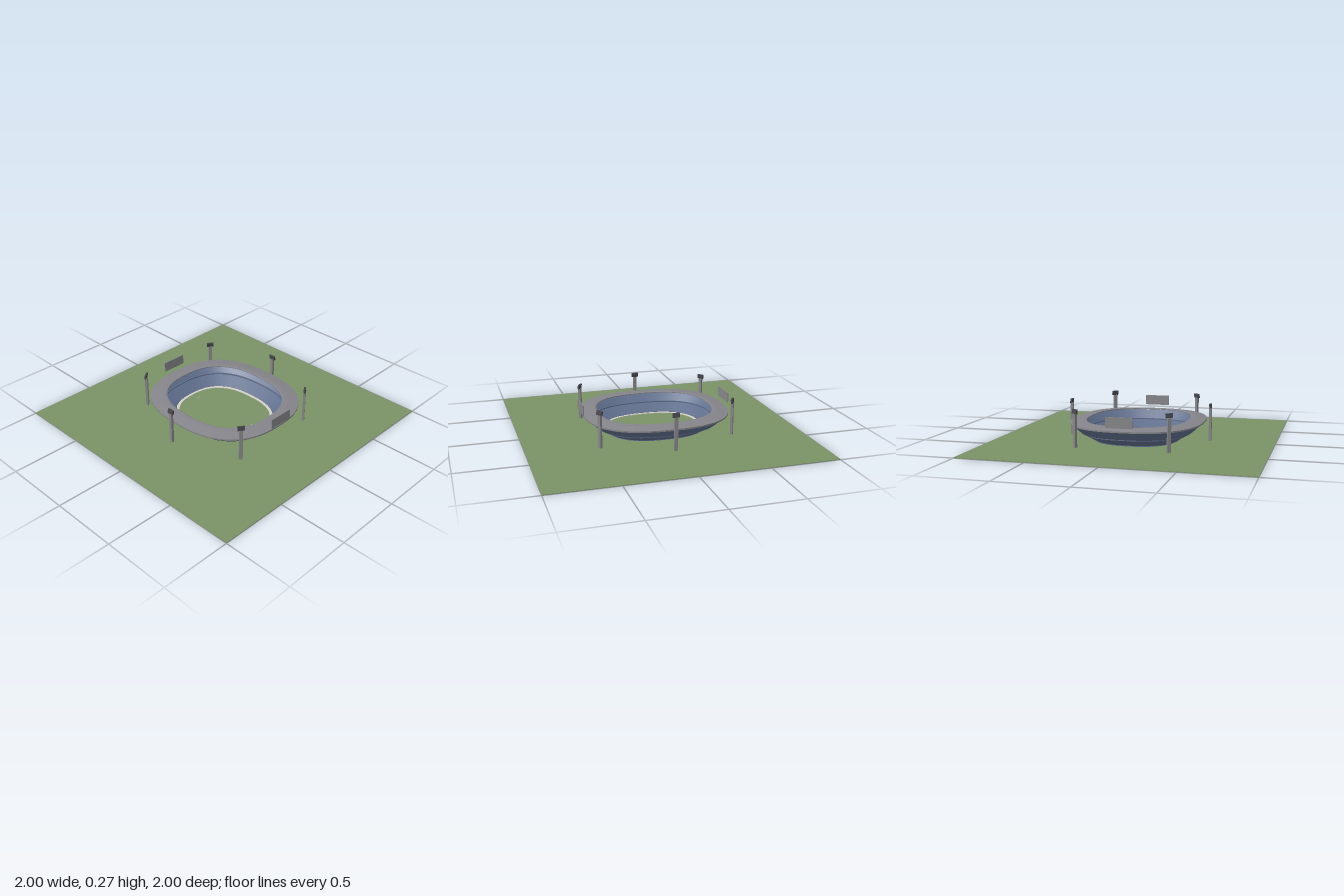
import * as THREE from 'three';

const mat = (name, color, side = THREE.FrontSide) => {
  const m = new THREE.MeshStandardMaterial({ color, side });
  m.name = name;
  return m;
};

// Point on the rounded oval plan; d is the distance outside the pitch edge
const SEGMENTS = 96, POWER = 2 / 2.5;
function ovalPoint(d, t) {
  const c = Math.cos(t), s = Math.sin(t);
  return [
    (0.36 + d) * Math.sign(c) * Math.abs(c) ** POWER,
    (0.31 + d) * Math.sign(s) * Math.abs(s) ** POWER,
  ];
}

// Sweeps a profile of [offset, height] points round the oval; each band keeps its own normals
function ovalSweep(profile) {
  const pos = [], index = [];
  for (let k = 0; k + 1 < profile.length; k++) {
    const base = pos.length / 3;
    for (let i = 0; i <= SEGMENTS; i++) {
      const t = (i / SEGMENTS) * Math.PI * 2;
      for (const [d, y] of [profile[k], profile[k + 1]]) {
        const [x, z] = ovalPoint(d, t);
        pos.push(x, y, z);
      }
    }
    for (let i = 0; i < SEGMENTS; i++) {
      const a = base + i * 2;
      index.push(a, a + 2, a + 1, a + 1, a + 2, a + 3);
    }
  }
  const g = new THREE.BufferGeometry();
  g.setAttribute('position', new THREE.Float32BufferAttribute(pos, 3));
  g.setIndex(index);
  g.computeVertexNormals();
  return g;
}

export function createModel() {
  const model = new THREE.Group();
  const grass = mat('grass green', 0x7a9267);
  const seats = mat('seat blue', 0x5f6e8c, THREE.DoubleSide);
  const roofGrey = mat('roof grey', 0x84848a, THREE.DoubleSide);
  const white = mat('board white', 0xd4d2c8, THREE.DoubleSide);
  const steel = mat('steel grey', 0x87878a);
  const dark = mat('lamp dark grey', 0x48484e);

  const add = (parent, name, geometry, material, x = 0, y = 0, z = 0) => {
    const m = new THREE.Mesh(geometry, material);
    m.name = name;
    m.position.set(x, y, z);
    parent.add(m);
    return m;
  };
  const box = (w, h, d) => new THREE.BoxGeometry(w, h, d);

  // Ground slab, with the pitch in the middle
  add(model, 'ground', box(2, 0.004, 2), grass, 0, 0.002, 0);

  // Low perimeter boards
  add(model, 'perimeterBoards',
    ovalSweep([[-0.02, 0.004], [-0.02, 0.008], [0, 0.008]]), white);

  // Two raked tiers, with a step at the concourse between them
  add(model, 'lowerTier', ovalSweep([[0, 0.004], [0, 0.01], [0.09, 0.06]]), seats);
  add(model, 'concourse', ovalSweep([[0.09, 0.06], [0.09, 0.068], [0.1, 0.068]]), seats);
  add(model, 'upperTier', ovalSweep([[0.1, 0.068], [0.165, 0.128]]), seats);

  // Roof ring, sloping down to the outer rim
  add(model, 'roof', ovalSweep([
    [0.06, 0.146], [0.06, 0.152], [0.07, 0.155], [0.1, 0.153],
    [0.175, 0.141], [0.175, 0.13], [0.16, 0.13], [0.06, 0.146],
  ]), roofGrey);

  // Six floodlight towers facing the centre
  const towers = [[0, 0.53], [0.487, 0.335], [0.487, -0.335],
    [0, -0.53], [-0.487, -0.335], [-0.487, 0.335]];
  for (const [x, z] of towers) {
    const tower = new THREE.Group();
    tower.name = 'floodlightTower';
    tower.position.set(x, 0, z);
    tower.rotation.y = Math.atan2(-x, -z);
    add(tower, 'mast', box(0.025, 0.24, 0.018), steel, 0, 0.122, 0);
    const head = add(tower, 'lampHead', box(0.05, 0.032, 0.012), dark, 0, 0.258, 0);
    head.rotation.x = 0.15;
    model.add(tower);
  }

  for (const side of [-1, 1]) {
    // Scoreboard above each end
    add(model, 'scoreboard', box(0.008, 0.075, 0.19), steel, side * 0.55, 0.203, 0);

    // Small goal frame
    const goal = new THREE.Group();
    goal.name = 'goal';
    goal.position.set(side * 0.27, 0.004, 0);
    for (const z of [-0.012, 0.012])
      add(goal, 'goalPost', box(0.002, 0.01, 0.002), white, 0, 0.005, z);
    add(goal, 'crossbar', box(0.002, 0.002, 0.026), white, 0, 0.01, 0);
    model.add(goal);
  }
  return model;
}
